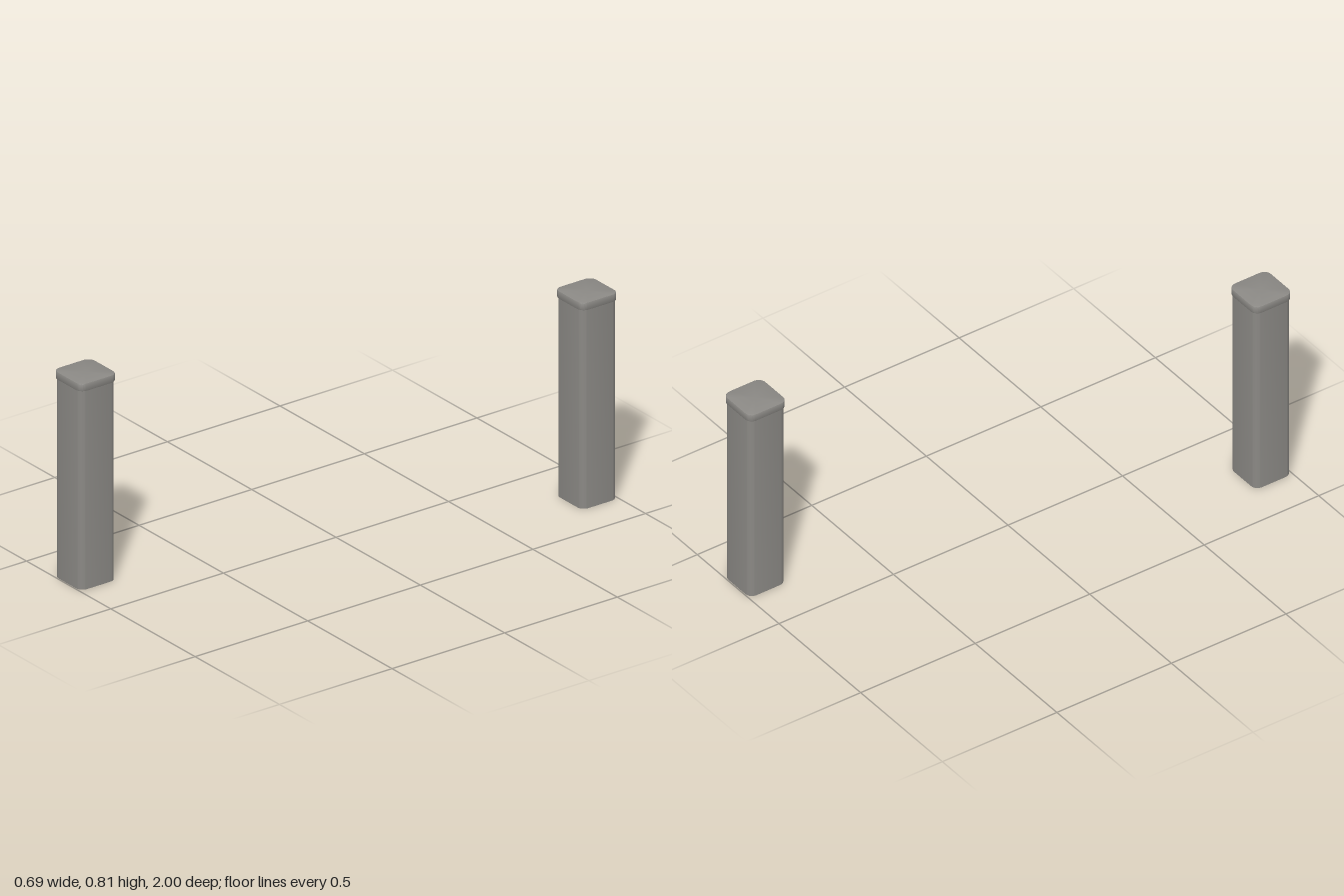
import * as THREE from 'three';
import { toCreasedNormals } from 'three/addons/utils/BufferGeometryUtils.js';

const CORNER_STEPS = 8;

// Rounded-square outline, one point per corner step
function outline(half, radius) {
  const points = [];
  for (let corner = 0; corner < 4; corner++) {
    const mid = (corner + 0.5) * Math.PI / 2;
    const cx = Math.sign(Math.cos(mid)) * (half - radius);
    const cz = Math.sign(Math.sin(mid)) * (half - radius);
    for (let s = 0; s <= CORNER_STEPS; s++) {
      const a = (corner + s / CORNER_STEPS) * Math.PI / 2;
      points.push([cx + radius * Math.cos(a), cz + radius * Math.sin(a)]);
    }
  }
  return points;
}

// Skin a stack of [half width, corner radius, height] rings, listed bottom to top
function loft(rings) {
  const positions = [], index = [];
  const n = 4 * (CORNER_STEPS + 1);
  for (const [half, radius, y] of rings) {
    for (const [x, z] of outline(half, radius)) positions.push(x, y, z);
  }
  for (let i = 0; i < rings.length - 1; i++) {
    for (let j = 0; j < n; j++) {
      const a = i * n + j, b = i * n + (j + 1) % n;
      if (rings[i + 1][0] > 0) index.push(a, a + n, b + n);
      if (rings[i][0] > 0) index.push(a, b + n, b);
    }
  }
  const geometry = new THREE.BufferGeometry();
  geometry.setAttribute('position', new THREE.Float32BufferAttribute(positions, 3));
  geometry.setIndex(index);
  return toCreasedNormals(geometry, 0.5);
}

export function createModel() {
  const model = new THREE.Group();
  model.name = 'postPair';
  const grey = new THREE.MeshStandardMaterial({ color: 0x8a8884, side: THREE.DoubleSide });
  grey.name = 'warm grey';

  // Hollow tube, open at the bottom
  const tube = loft([[0.0795, 0.028, 0], [0.0795, 0.028, 0.782]]);

  // Closed lid with softened edges
  const lid = loft([
    [0, 0, 0.78],
    [0.0805, 0.027, 0.78],
    [0.0825, 0.029, 0.7808],
    [0.0835, 0.03, 0.783],
    [0.0835, 0.03, 0.807],
    [0.0825, 0.029, 0.8092],
    [0.0805, 0.027, 0.81],
    [0, 0, 0.81],
  ]);

  // Two posts on opposite corners
  for (const [name, side] of [['frontRightPost', -1], ['backLeftPost', 1]]) {
    const post = new THREE.Group();
    post.name = name;
    const body = new THREE.Mesh(tube, grey);
    body.name = 'postTube';
    const cap = new THREE.Mesh(lid, grey);
    cap.name = 'postCap';
    post.add(body, cap);
    post.position.set(side * 0.2625, 0, -side * 0.9165);
    model.add(post);
  }
  return model;
}
